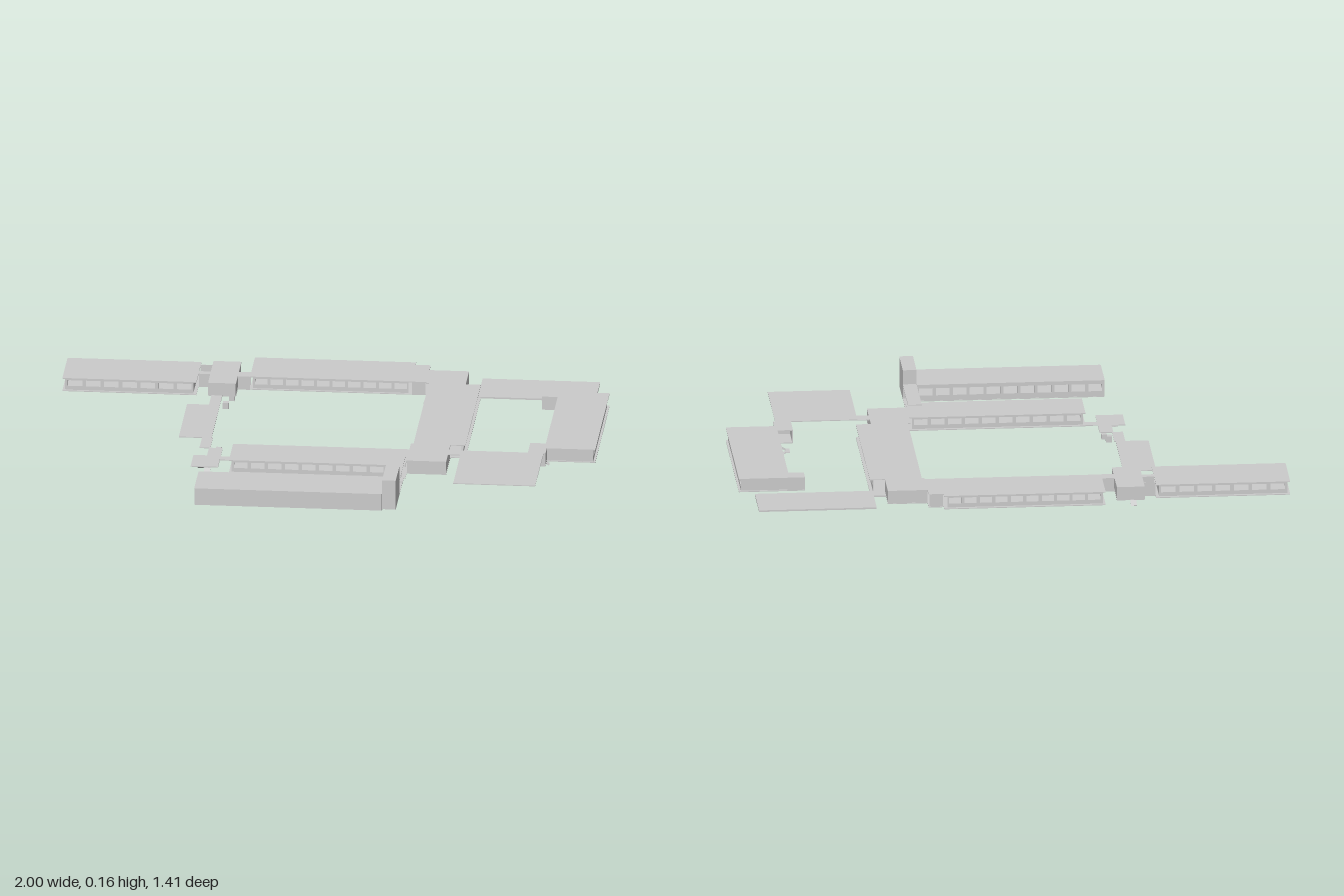
import * as THREE from 'three';

const mat = new THREE.MeshStandardMaterial({ color: 0xcccccc, flatShading: true, side: THREE.DoubleSide });
const FLOOR = 0.043, ROOF = 0.094, T = 0.003;

export function createModel() {
  const model = new THREE.Group();

  const add = (name, geo, parent = model) => {
    const m = new THREE.Mesh(geo, mat);
    m.name = name;
    parent.add(m);
    return m;
  };
  // Box given by its limits on each axis
  const box = (name, x0, x1, y0, y1, z0, z1, parent) =>
    add(name, new THREE.BoxGeometry(x1 - x0, y1 - y0, z1 - z0), parent)
      .position.set((x0 + x1) / 2, (y0 + y1) / 2, (z0 + z1) / 2);

  // Upright wall between two plan points, pierced by n windows (0 = solid)
  const wall = (name, x0, z0, x1, z1, y0, y1, n, parent) => {
    const len = Math.hypot(x1 - x0, z1 - z0), h = y1 - y0;
    const s = new THREE.Shape([[0, 0], [len, 0], [len, h], [0, h]].map(p => new THREE.Vector2(...p)));
    for (let i = 0; i < n; i++) {
      const a = (i + 0.1) * len / n, b = (i + 0.9) * len / n;
      s.holes.push(new THREE.Path([[a, h * 0.35], [a, h * 0.78], [b, h * 0.78], [b, h * 0.35]]
        .map(p => new THREE.Vector2(...p))));
    }
    const m = add(name, new THREE.ExtrudeGeometry(s, { depth: T, bevelEnabled: false }), parent);
    m.position.set(x0, y0, z0);
    m.rotation.y = -Math.atan2(z1 - z0, x1 - x0);
  };

  // Wing: floor, overhanging roof and walls; win = windows on [front, back, left, right], null = open side
  const wing = (name, x0, x1, z0, z1, win, inset = 0.012, top = ROOF) => {
    const g = new THREE.Group();
    g.name = name;
    model.add(g);
    box('floor', x0, x1, FLOOR, FLOOR + T, z0, z1, g);
    box('roof', x0, x1, top - T, top, z0, z1, g);
    const a = x0 + inset, b = x1 - inset, c = z0 + inset, d = z1 - inset;
    [[a, d, b, d], [a, c, b, c], [b, c, b, d], [a, c, a, d]].forEach((w, i) => {
      if (win[i] !== null) wall(win[i] ? 'windowWall' : 'wall', ...w, FLOOR, top, win[i], g);
    });
  };

  // Main wings around the courtyard
  wing('northWing', -0.32, 0.27, -0.705, -0.505, [10, 10, null, 0]);
  wing('northWingEnd', 0.27, 0.325, -0.68, -0.505, [0, 0, null, null], 0.003);
  wing('eastWing', 0.335, 0.525, -0.495, 0.135, [null, null, 10, 10]);
  wing('eastWingNorthEnd', 0.325, 0.47, -0.63, -0.495, [null, 0, 0, null], 0.001);
  wing('eastWingSouthEnd', 0.325, 0.47, 0.135, 0.31, [0, null, 0, null], 0.001);
  wing('southWing', -0.32, 0.325, 0.195, 0.365, [10, 10, null, 0]);

  // Outlying buildings
  wing('northWestWing', -1, -0.51, -0.64, -0.43, [7, 7, 0, 0]);
  wing('eastBuilding', 0.815, 1, -0.45, 0.14, [0, 0, 9, 9], 0.008);
  wing('eastBuildingLobby', 0.76, 0.823, -0.45, -0.395, [0, 0, null, 0], 0.001);
  wing('eastBuildingHall', 0.76, 0.823, 0.09, 0.19, [0, null, 0, 0], 0.001);
  wing('northWestLobby', -0.465, -0.365, -0.655, -0.43, [0, 0, 0, 0], 0.001);

  // South building with its stair tower
  wing('southBuilding', -0.415, 0.27, 0.525, 0.7, [0, 11, null, 0], 0.001, 0.107);
  box('stairTower', 0.27, 0.32, 0.048, 0.16, 0.54, 0.7);

  // Covered walk between south building and courtyard, with a short ramp
  box('walkRoof', 0.27, 0.32, 0.103, 0.106, 0.305, 0.58);
  box('walkFloor', 0.27, 0.32, 0.048, 0.051, 0.43, 0.58);
  box('walkFloor', 0.27, 0.32, FLOOR, FLOOR + T, 0.305, 0.4);
  const ramp = new THREE.BoxGeometry(0.05, T, 0.032);
  add('walkRamp', ramp).position.set(0.295, 0.047, 0.415);
  model.children[model.children.length - 1].rotation.x = -0.16;
  wall('walkWall', 0.271, 0.31, 0.271, 0.43, FLOOR, 0.07, 0);

  // Flat decks and terraces
  box('southEastCanopy', 0.515, 0.815, ROOF - T, ROOF, 0.19, 0.53);
  box('canopyLink', 0.47, 0.515, ROOF - T, ROOF, 0.185, 0.235);
  box('northEastTerrace', 0.515, 0.945, FLOOR, FLOOR + T * 2, -0.68, -0.49);
  box('terraceLink', 0.47, 0.52, FLOOR, FLOOR + T * 2, -0.545, -0.495);
  box('westTerrace', -0.535, -0.415, FLOOR, FLOOR + T, -0.33, 0.01);
  box('westPath', -0.455, -0.415, FLOOR, FLOOR + T, -0.5, -0.33);
  box('westPath', -0.45, -0.41, FLOOR, FLOOR + T, 0.01, 0.115);
  box('southWestDeck', -0.465, -0.365, FLOOR, FLOOR + T, 0.195, 0.31);
  box('southWestDeck', -0.415, -0.365, FLOOR, FLOOR + T, 0.115, 0.195);
  box('southWestLink', -0.365, -0.32, FLOOR, FLOOR + T, 0.2, 0.235);

  // Links either side of the north-west lobby
  wing('northWestLink', -0.51, -0.465, -0.545, -0.52, [0, 0, null, null], 0.001);
  wall('linkScreen', -0.51, -0.613, -0.465, -0.613, FLOOR, ROOF, 0);
  wing('northWingLink', -0.365, -0.32, -0.55, -0.505, [0, 0, null, null], 0.001);

  // Courtyard steps at the four inner corners
  for (const [x, s] of [[-0.4, 1], [0.352, -1]])
    for (const z of [0.12, -0.423]) {
      box('upperStep', x - 0.01 + s * 0.02, x + 0.01 + s * 0.02, 0.025, FLOOR, z - 0.025, z - 0.005);
      box('lowerStep', x - 0.011, x + 0.011, 0.004, 0.027, z, z + 0.022);
    }

  // Folded outdoor stairs: two thin flights meeting at a landing
  const flight = (along, cx, cz, dir) => {
    const g = new THREE.Group();
    g.name = 'outdoorStair';
    for (const s of [1, -1]) {
      const m = add('flight', new THREE.BoxGeometry(0.045, 0.002, 0.022), g);
      m.position.set(0, 0.022 + s * 0.01, s * 0.012);
      m.rotation.z = s * 0.48;
    }
    const l = add('landing', new THREE.BoxGeometry(0.016, 0.002, 0.046), g);
    l.position.set(-0.025, 0.022, 0);
    g.rotation.y = along === 'x' ? (dir > 0 ? 0 : Math.PI) : dir * Math.PI / 2;
    g.position.set(cx, 0, cz);
    model.add(g);
  };
  flight('x', 0.805, 0.07, 1);
  flight('z', -0.42, -0.58, 1);
  flight('z', -0.42, 0.28, -1);

  return model;
}
